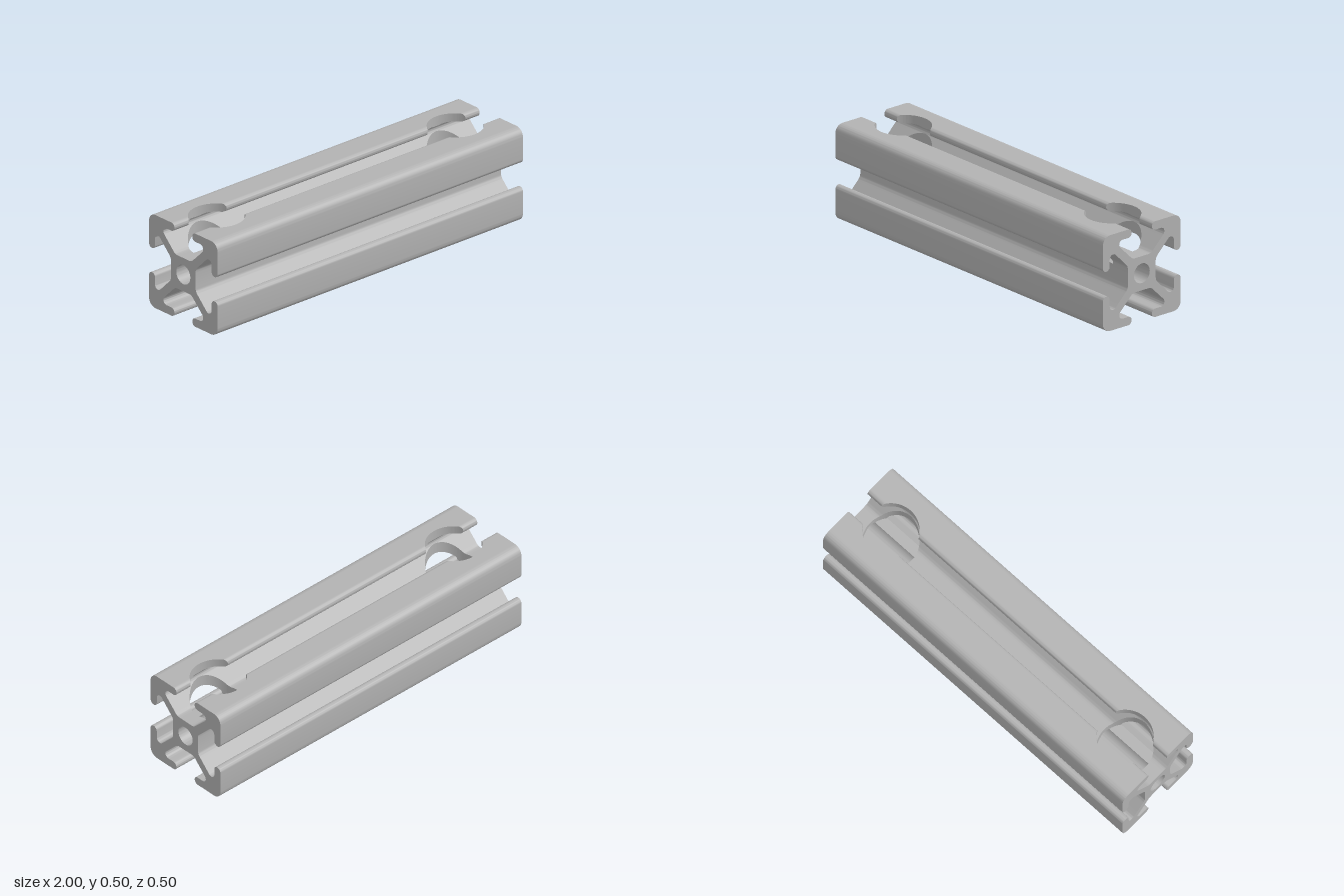
import * as THREE from 'three';
import { toCreasedNormals } from 'three/addons/utils/BufferGeometryUtils.js';

const HALF = 1;        // half length along x
const MID = 0.25;      // height of the bar's axis
const BORE = 0.051;    // central bore radius
const HOLE_R = 0.14;   // counterbore radius
const HOLE_X = 0.782;  // counterbore centres at +-x
const FLOOR = 0.04;    // counterbore floor, measured from the axis

const round = (n) => Math.round(n * 1e5) / 1e5;
const holeHalf = (z) => Math.sqrt(Math.max(0, HOLE_R * HOLE_R - z * z));

function arc(cz, cy, r, from, to, n) {
  return Array.from({ length: n + 1 }, (_, i) => {
    const a = THREE.MathUtils.degToRad(from + ((to - from) * i) / n);
    return [cz + r * Math.cos(a), cy + r * Math.sin(a)];
  });
}

// T-slot outline in (z, y): one eighth, mirrored and turned four times
function outline() {
  const eighth = [
    ...arc(0.043, 0.1273, 0.038, -90, -45, 5),   // core fillet
    ...arc(0.123, 0.184, 0.022, -45, 90, 10),    // slot pocket
    ...arc(0.087, 0.228, 0.022, -90, -270, 14),  // rounded lip
    ...arc(0.204, 0.204, 0.046, 90, 45, 5),      // outer corner
  ];
  const quarter = [...eighth, ...eighth.slice(0, -1).reverse().map(([z, y]) => [y, z])];
  const points = [];
  let turned = quarter;
  for (let i = 0; i < 4; i++) {
    points.push(...turned);
    turned = turned.map(([z, y]) => [y, -z]);
  }
  return points;
}

// Closed loop to edges, each split where it crosses the given values on one axis
function splitEdges(edges, axis, values) {
  const out = [];
  for (const [p, q] of edges) {
    const d = q[axis] - p[axis];
    const cuts = values
      .filter((v) => (v - p[axis]) * (v - q[axis]) < 0)
      .sort((a, b) => (a - b) * Math.sign(d));
    let last = p;
    for (const v of cuts) {
      const t = (v - p[axis]) / d;
      const c = [0, 1].map((k) => (k === axis ? v : round(p[k] + (q[k] - p[k]) * t)));
      out.push([last, c]);
      last = c;
    }
    out.push([last, q]);
  }
  return out;
}

const toEdges = (loop) => {
  const pts = loop.map(([z, y]) => [round(z), round(y)]);
  return pts
    .map((p, i) => [p, pts[(i + 1) % pts.length]])
    .filter(([p, q]) => p[0] !== q[0] || p[1] !== q[1]);
};

// Collects quads, turning each towards a given direction
class Surface {
  positions = [];
  tri(a, b, c, dir) {
    const [A, B, C] = [a, b, c].map((p) => new THREE.Vector3(p[0], p[1] + MID, p[2]));
    const n = B.clone().sub(A).cross(C.clone().sub(A));
    if (n.length() < 1e-10) return;
    const list = n.dot(dir) < 0 ? [A, C, B] : [A, B, C];
    for (const p of list) this.positions.push(p.x, p.y, p.z);
  }
  quad(a, b, c, d, dir) {
    this.tri(a, b, c, dir);
    this.tri(a, c, d, dir);
  }
  mesh(name, material) {
    const g = new THREE.BufferGeometry();
    g.setAttribute('position', new THREE.Float32BufferAttribute(this.positions, 3));
    const mesh = new THREE.Mesh(toCreasedNormals(g, 0.5), material);
    mesh.name = name;
    return mesh;
  }
}

export function createModel() {
  const aluminium = new THREE.MeshStandardMaterial({ color: 0xb2b2b2 });
  aluminium.name = 'aluminium grey';

  const bore = arc(0, 0, BORE, 0, 360, 48).slice(0, -1);
  let edges = splitEdges([...toEdges(outline()), ...toEdges(bore)], 1, [FLOOR]);
  const grid = Array.from({ length: 33 }, (_, i) =>
    round(HOLE_R * Math.sin(((i - 16) * Math.PI) / 32)));
  const zs = [...new Set([...grid, ...edges.map(([p]) => p[0])])].sort((a, b) => a - b);
  edges = splitEdges(edges, 0, zs);

  // Long surfaces of the bar, interrupted where the counterbores pass
  const sides = new Surface();
  for (const [p, q] of edges) {
    const dir = new THREE.Vector3(0, q[0] - p[0], p[1] - q[1]);
    const cut = p[1] + q[1] > 2 * FLOOR && Math.abs(p[0] + q[0]) < 2 * HOLE_R;
    const stops = ([z]) => {
      const w = holeHalf(z);
      return cut
        ? [-HALF, -HOLE_X - w, -HOLE_X + w, HOLE_X - w, HOLE_X + w, HALF]
        : [-HALF, HALF];
    };
    const a = stops(p), b = stops(q);
    // the bore loop runs the other way round, so its surface faces the axis
    const isBore = Math.hypot(p[0], p[1]) < BORE + 0.001;
    if (isBore) dir.set(0, -p[1] - q[1], -p[0] - q[0]);
    for (let i = 0; i < a.length; i += 2) {
      sides.quad([a[i], p[1], p[0]], [a[i + 1], p[1], p[0]],
        [b[i + 1], q[1], q[0]], [b[i], q[1], q[0]], dir);
    }
  }

  // Solid spans of the section between neighbouring z values
  const ends = new Surface(), walls = new Surface(), floors = new Surface();
  const up = new THREE.Vector3(0, 1, 0);
  for (let i = 0; i + 1 < zs.length; i++) {
    const z0 = zs[i], z1 = zs[i + 1];
    const spans = edges
      .map(([p, q]) => (p[0] < q[0] ? [p, q] : [q, p]))
      .filter(([p, q]) => p[0] === z0 && q[0] === z1)
      .map(([p, q]) => [p[1], q[1]])
      .sort((a, b) => a[0] + a[1] - b[0] - b[1]);
    const w0 = holeHalf(z0), w1 = holeHalf(z1);
    for (let k = 0; k + 1 < spans.length; k += 2) {
      const lo = spans[k], hi = spans[k + 1];
      for (const s of [-1, 1]) {
        const x = s * HALF;
        ends.quad([x, lo[0], z0], [x, lo[1], z1], [x, hi[1], z1], [x, hi[0], z0],
          new THREE.Vector3(s, 0, 0));
      }
      if (Math.abs(z0 + z1) >= 2 * HOLE_R || hi[0] + hi[1] <= 2 * FLOOR) continue;
      const base = lo.map((y) => Math.max(y, FLOOR));
      for (const c of [-HOLE_X, HOLE_X]) {
        for (const s of [-1, 1]) {
          const x0 = c + s * w0, x1 = c + s * w1;
          walls.quad([x0, base[0], z0], [x1, base[1], z1], [x1, hi[1], z1], [x0, hi[0], z0],
            new THREE.Vector3(-s * (w0 + w1), 0, -z0 - z1));
        }
        if (lo[0] + lo[1] < 2 * FLOOR) {
          floors.quad([c - w0, FLOOR, z0], [c + w0, FLOOR, z0],
            [c + w1, FLOOR, z1], [c - w1, FLOOR, z1], up);
        }
      }
    }
  }

  const model = new THREE.Group();
  model.name = 'slottedBar';
  model.add(
    sides.mesh('barSides', aluminium),
    ends.mesh('barEnds', aluminium),
    walls.mesh('counterboreWalls', aluminium),
    floors.mesh('counterboreFloors', aluminium),
  );
  return model;
}
